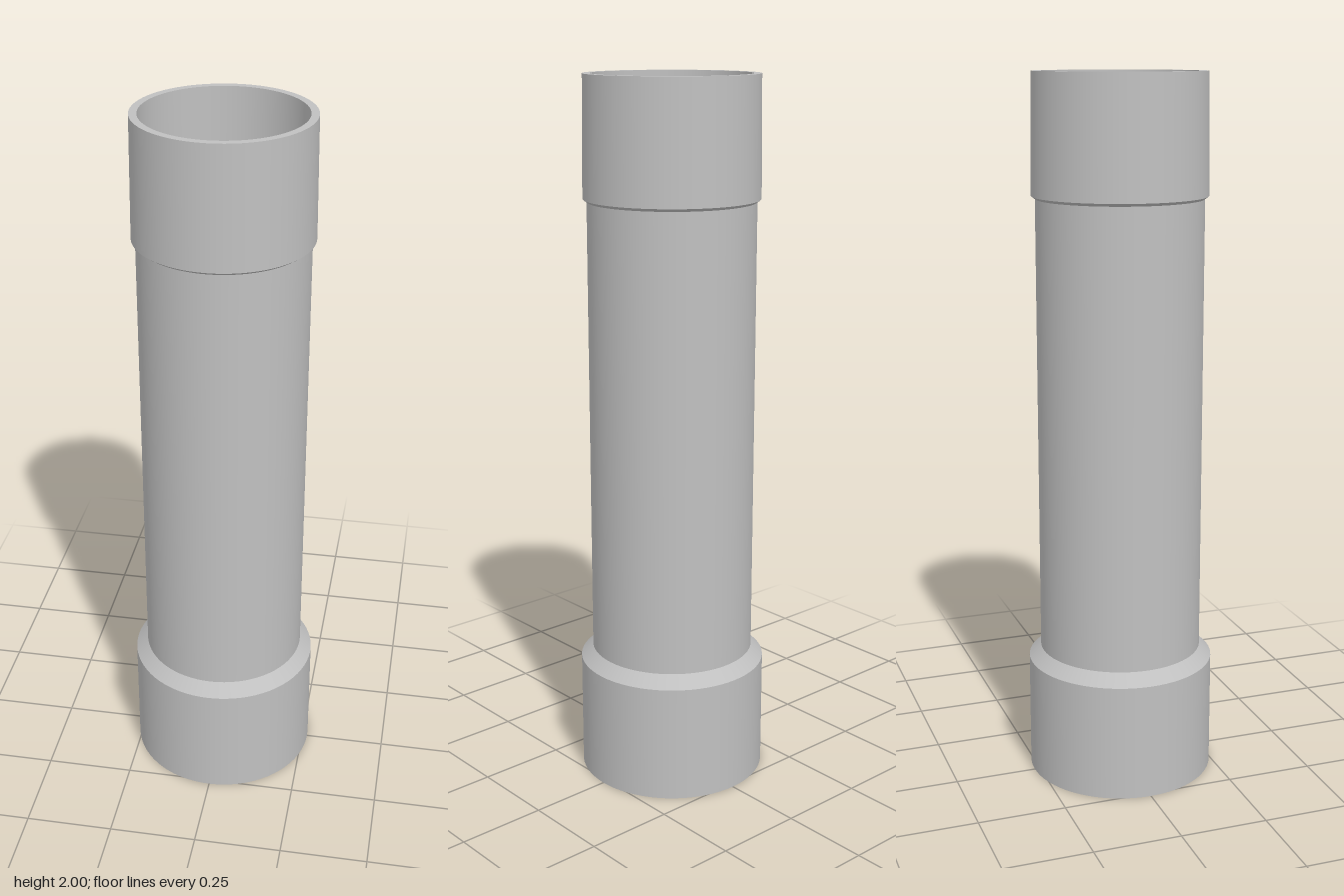
import * as THREE from 'three';

const SIDES = 72;

export function createModel() {
  const model = new THREE.Group();
  model.name = 'pipe';
  const grey = new THREE.MeshStandardMaterial({ color: 0xc0c0c0 });
  grey.name = 'pipe grey';

  // One group per part: every profile edge is its own lathe band, so edges stay crisp
  // and the round faces stay smooth. Profiles run up the outside and down the inside.
  function addPart(name, profile) {
    const part = new THREE.Group();
    part.name = name;
    for (let i = 0; i < profile.length - 1; i++) {
      const edge = [profile[i], profile[i + 1]].map(([r, y]) => new THREE.Vector2(r, y));
      const band = new THREE.Mesh(new THREE.LatheGeometry(edge, SIDES), grey);
      band.name = `${name}Band${i + 1}`;
      part.add(band);
    }
    model.add(part);
  }

  // Wide socket at the foot: outer wall and sloped shoulder
  addPart('socket', [[0.266, 0], [0.266, 0.336], [0.232, 0.37]]);

  // Straight pipe between the two ends
  addPart('pipeWall', [[0.232, 0.37], [0.232, 1.662]]);

  // Slightly tapered spigot at the top, with its lower lip and rim
  addPart('spigot', [[0.232, 1.662], [0.243, 1.67], [0.239, 2], [0.218, 2]]);

  // Bore running down into the wider socket mouth, closed by the bottom rim
  addPart('bore', [[0.218, 2], [0.218, 0.37], [0.24, 0.336], [0.244, 0], [0.266, 0]]);

  return model;
}
